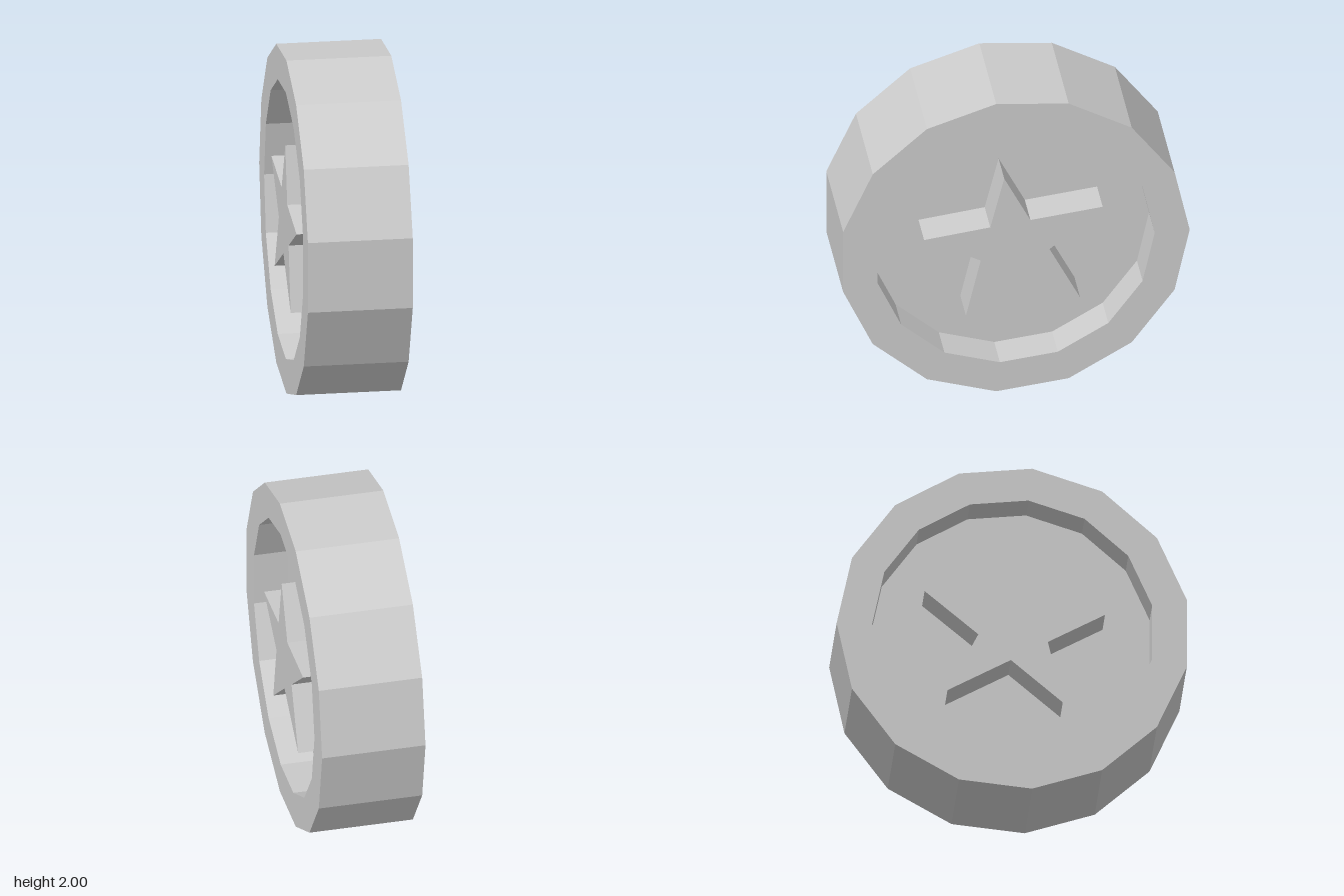
import * as THREE from 'three';

const SIDES = 15;
const RADIUS = 1.0055;   // outer corner radius of the rim
const INNER = 0.8044;    // corner radius of the recess
const WIDTH = 0.6;       // full thickness
const CORE = 0.2;        // thickness of the recessed plate
const CENTRE = new THREE.Vector2(-0.011, 1);

// Hand-cut, slightly uneven star outline, alternating tip and notch
const STAR = [
  [-0.07, 1.475], [0.08, 1.17], [0.495, 1.215], [0.19, 0.955], [0.365, 0.6],
  [0.005, 0.8], [-0.29, 0.545], [-0.205, 0.92], [-0.53, 1.1], [-0.15, 1.145],
].map(([x, y]) => new THREE.Vector2(x, y));

function polygon(radius) {
  return Array.from({ length: SIDES }, (_, i) => {
    const a = (i / SIDES) * Math.PI * 2;
    return new THREE.Vector2(Math.cos(a), Math.sin(a)).multiplyScalar(radius).add(CENTRE);
  });
}

// Extrudes a shape along x, starting at the given x
function slab(name, shape, start, depth, material) {
  const geometry = new THREE.ExtrudeGeometry(shape, { depth, bevelEnabled: false });
  geometry.translate(0, 0, start).rotateY(Math.PI / 2);
  const mesh = new THREE.Mesh(geometry, material);
  mesh.name = name;
  return mesh;
}

export function createModel() {
  const material = new THREE.MeshStandardMaterial({ color: 0xcccccc, flatShading: true });
  const group = new THREE.Group();
  group.name = 'coin';

  // Raised outer rim
  const ring = new THREE.Shape(polygon(RADIUS));
  ring.holes.push(new THREE.Path(polygon(INNER)));
  group.add(slab('rim', ring, -WIDTH / 2, WIDTH, material));

  // Recessed plate in the middle
  group.add(slab('plate', new THREE.Shape(polygon(INNER)), -CORE / 2, CORE, material));

  // A star on each face, flush with the rim
  const star = new THREE.Shape(STAR);
  const height = (WIDTH - CORE) / 2;
  group.add(slab('rightStar', star, CORE / 2, height, material));
  group.add(slab('leftStar', star, -WIDTH / 2, height, material));

  return group;
}
